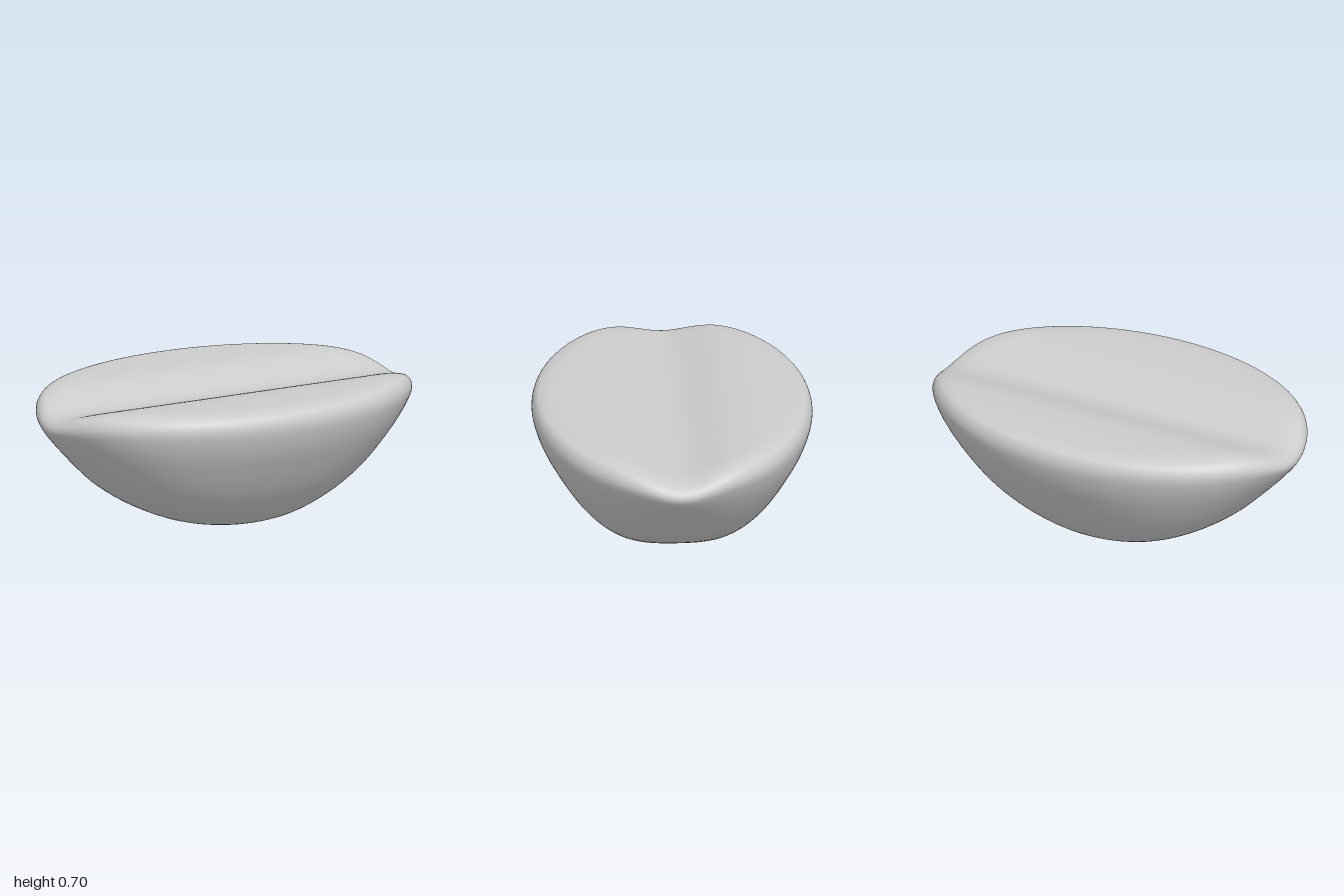
import * as THREE from 'three';

// Profile from the base centre, out over the rim and back to the top centre:
// [radius fraction, height towards the ends, height towards front and back]
const PROFILE = [
  [0, 0.005, 0.005], [0.2, 0.016, 0.006], [0.3, 0.036, 0.01], [0.43, 0.072, 0.03],
  [0.57, 0.14, 0.105], [0.71, 0.24, 0.215], [0.8, 0.33, 0.305], [0.87, 0.41, 0.385],
  [0.93, 0.485, 0.46], [0.975, 0.55, 0.535], [1, 0.605, 0.605], [0.992, 0.645, 0.648],
  [0.965, 0.676, 0.678], [0.92, 0.692, 0.692], [0.86, 0.699, 0.699], [0.75, 0.7, 0.7],
  [0.6, 0.7, 0.7], [0.45, 0.7, 0.7], [0.3, 0.7, 0.7], [0.15, 0.7, 0.7], [0, 0.7, 0.7],
];
const RIM = 10; // profile index of the widest ring
const STEPS = 4, AROUND = 112;

function bodyGeometry() {
  const curve = new THREE.CatmullRomCurve3(PROFILE.map((p) => new THREE.Vector3(...p)));
  const rings = (PROFILE.length - 1) * STEPS;
  const positions = [], index = [];

  for (let i = 0; i <= rings; i++) {
    const p = curve.getPoint(i / rings);
    const r = i === 0 || i === rings ? 0 : p.x;
    const below = i < RIM * STEPS;
    for (let j = 0; j < AROUND; j++) {
      const t = (j / AROUND) * Math.PI * 2;
      const c = Math.cos(t), s = Math.sin(t);
      // lower rings are slightly squarer than the oval rim
      const square = below ? 1 + 0.05 * (2 * s * c) ** 2 * (1 - r ** 4) : 1;
      const x = r * c * square, z = 0.7 * r * s * square;
      let y = p.y * c * c + p.z * s * s;
      // lengthwise groove, fading out below the rim
      const fade = below
        ? 0.67 * Math.min(1, y / 0.605) ** 3
        : 0.67 + 0.33 * THREE.MathUtils.clamp((y - 0.605) / 0.095, 0, 1);
      y -= 0.076 * fade * Math.exp(-((z / 0.2) ** 2));
      positions.push(x, y, z);
    }
  }
  // both poles are a single shared vertex
  const at = (i, j) => (i === 0 || i === rings ? i * AROUND : i * AROUND + (j % AROUND));
  for (let i = 0; i < rings; i++) {
    for (let j = 0; j < AROUND; j++) {
      const a = at(i, j), b = at(i + 1, j), d = at(i + 1, j + 1), e = at(i, j + 1);
      if (i < rings - 1) index.push(a, b, d);
      else index.push(a, b, e);
      if (i > 0 && i < rings - 1) index.push(a, d, e);
    }
  }
  const geometry = new THREE.BufferGeometry();
  geometry.setAttribute('position', new THREE.Float32BufferAttribute(positions, 3));
  geometry.setIndex(index);
  geometry.computeVertexNormals();
  return geometry;
}

export function createModel() {
  const group = new THREE.Group();
  group.name = 'groovedBowlBody';
  const grey = new THREE.MeshStandardMaterial({ color: 0xcccccc });
  grey.name = 'light grey';
  const body = new THREE.Mesh(bodyGeometry(), grey);
  body.name = 'body';
  group.add(body);
  return group;
}
